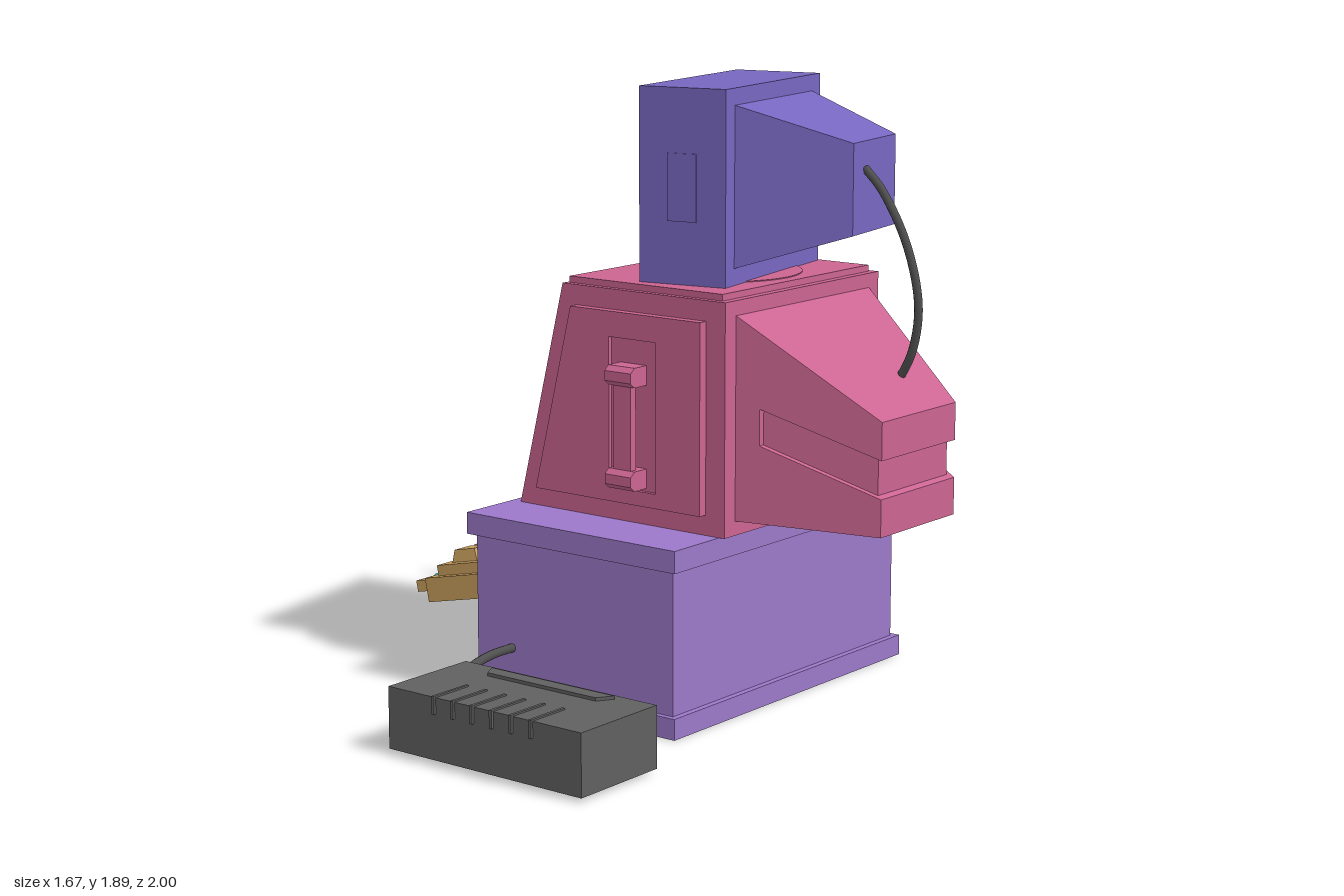
import * as THREE from 'three';

const paint = (color, flatShading = true) => {
  const m = new THREE.MeshStandardMaterial({ color, side: THREE.DoubleSide });
  m.flatShading = flatShading;
  return m;
};
const PURPLE = paint(0x9c78c9), PINK = paint(0xcb6591), VIOLET = paint(0x7767c0), TAN = paint(0xcba15e);
const GREEN = paint(0x91c93b), TEAL = paint(0x46cfc6), DARK = paint(0x606060), CABLE = paint(0x505050, false);

function add(parent, name, geometry, material) {
  const mesh = new THREE.Mesh(geometry, material);
  mesh.name = name;
  parent.add(mesh);
  return mesh;
}

// Box given by its limits on each axis
function box(parent, name, mat, x0, x1, y0, y1, z0, z1) {
  const m = add(parent, name, new THREE.BoxGeometry(x1 - x0, y1 - y0, z1 - z0), mat);
  m.position.set((x0 + x1) / 2, (y0 + y1) / 2, (z0 + z1) / 2);
  return m;
}

// Outline in xy pushed along z, with optional holes
function slab(parent, name, mat, points, z0, z1, holes = []) {
  const path = (p) => p.map(([x, y]) => new THREE.Vector2(x, y));
  const shape = new THREE.Shape(path(points));
  holes.forEach((h) => shape.holes.push(new THREE.Path(path(h))));
  const m = add(parent, name, new THREE.ExtrudeGeometry(shape, { depth: z1 - z0, bevelEnabled: false }), mat);
  m.position.z = z0;
  return m;
}
const rect = (x0, x1, y0, y1) => [[x0, y0], [x1, y0], [x1, y1], [x0, y1]];

// Solid between two rectangles [x, y0, y1, z0, z1] standing across the x axis
function taperX(parent, name, mat, a, b) {
  const loop = ([x, y0, y1, z0, z1]) => [[x, y0, z0], [x, y0, z1], [x, y1, z1], [x, y1, z0]];
  const A = loop(a), B = loop(b), v = [];
  const quad = (p, q, r, s) => v.push(...p, ...q, ...r, ...p, ...r, ...s);
  quad(A[0], A[1], A[2], A[3]);
  quad(B[0], B[3], B[2], B[1]);
  for (let i = 0; i < 4; i++) {
    const j = (i + 1) % 4;
    quad(A[i], B[i], B[j], A[j]);
  }
  const g = new THREE.BufferGeometry();
  g.setAttribute('position', new THREE.Float32BufferAttribute(v, 3));
  g.computeVertexNormals();
  return add(parent, name, g, mat);
}

// Square frustum along y, by half-widths at top and bottom
const pyramid = (top, bottom, h, open = false) =>
  new THREE.CylinderGeometry(top * Math.SQRT2, bottom * Math.SQRT2, h, 4, 1, open).rotateY(Math.PI / 4);

function tube(parent, name, points, r) {
  const curve = new THREE.CatmullRomCurve3(points.map((p) => new THREE.Vector3(...p)));
  add(parent, name, new THREE.TubeGeometry(curve, 32, r, 10), CABLE);
}

function group(parent, name) {
  const g = new THREE.Group();
  g.name = name;
  parent.add(g);
  return g;
}

function buildPlinth(root) {
  const g = group(root, 'plinth');
  box(g, 'plinthBody', PURPLE, -0.395, 0.37, 0.05, 0.52, -0.775, 0.37);
  box(g, 'plinthFoot', PURPLE, -0.42, 0.39, 0, 0.065, -0.797, 0.388);
  box(g, 'plinthTop', PURPLE, -0.42, 0.39, 0.505, 0.573, -0.797, 0.388);
}

function buildCabinet(root) {
  const g = group(root, 'cabinet');
  const faceX = (y) => -0.385 + (y - 0.573) * 0.248;
  const plain = [[faceX(0.573), 0.573], [0.41, 0.573], [0.41, 1.28], [faceX(1.28), 1.28]];
  // Sloping front with a recessed screen between two plain cheeks
  const notch = [[1.1, 0], [1.07, 0.05], [0.745, 0.05], [0.715, 0]].map(([y, d]) => [faceX(y) + d, y]);
  slab(g, 'cabinetCheek', PINK, plain, -0.617, -0.36);
  slab(g, 'cabinetCheek', PINK, plain, 0.085, 0.175);
  slab(g, 'cabinetMiddle', PINK, [...plain, ...notch], -0.36, 0.085);
  box(g, 'cabinetLid', PINK, -0.198, 0.385, 1.275, 1.3, -0.598, 0.155);
  // Small slot at the foot of the sloping front
  const slot = box(g, 'frontSlot', PINK, -0.012, 0.012, -0.05, 0.05, -0.57, -0.41);
  slot.position.set(faceX(0.65), 0.65, -0.49);
  slot.rotation.z = -0.243;
  const swivel = add(g, 'swivelDisc', new THREE.CylinderGeometry(0.25, 0.25, 0.004, 48), PINK);
  swivel.position.set(0.095, 1.301, -0.222);

  // Side door with a recessed handle bay
  slab(g, 'sideDoor', PINK, [[-0.297, 0.635], [0.34, 0.635], [0.34, 1.218], [-0.155, 1.218]], 0.17, 0.205,
    [rect(-0.005, 0.175, 0.68, 1.14)]);
  box(g, 'handleBay', PINK, -0.005, 0.175, 0.68, 1.14, 0.17, 0.192);
  box(g, 'handleBar', PINK, 0.05, 0.115, 0.72, 1.03, 0.225, 0.25);
  for (const [y, s] of [[0.69, 1], [1.065, -1]]) {
    const end = [[0.19, y], [0.25, y], [0.268, y + s * 0.015], [0.268, y + s * 0.045], [0.25, y + s * 0.06], [0.19, y + s * 0.06]];
    const m = slab(g, 'handleEnd', PINK, end.map(([z, yy]) => [-z, yy]), 0, 0.1);
    m.rotation.y = Math.PI / 2;
    m.position.set(0.03, 0, 0);
  }

  // Tapering rear housing with a groove round its end
  const at = (x, y0, y1, inset = 0) => {
    const t = (x - 0.4) / 0.43, half = 0.348 - 0.152 * t - inset;
    return [x, y0, y1, -0.222 - half, -0.222 + half];
  };
  const top = (x) => 1.235 - (x - 0.41) * 0.69, low = (x) => 0.617 - (x - 0.41) * 0.04;
  const g1 = (x) => 0.96 - (x - 0.48) * 0.371, g0 = (x) => 0.85 - (x - 0.48) * 0.386;
  const part = (name, x0, x1, f0, f1, inset) =>
    taperX(g, name, PINK, at(x0, f0(x0), f1(x0), inset), at(x1, f0(x1), f1(x1), inset));
  part('rearHousingRoot', 0.4, 0.48, low, top);
  part('rearHousingUpper', 0.48, 0.83, g1, top);
  part('rearHousingLower', 0.48, 0.83, low, g0);
  part('rearHousingGroove', 0.47, 0.81, g0, g1, 0.02);
}

function buildMonitor(root) {
  const g = group(root, 'monitor');
  g.position.set(0.1215, 1.3, -0.237);
  g.rotation.y = 0.187;
  box(g, 'monitorBody', VIOLET, -0.1, 0.143, 0, 0.588, -0.33, 0.33);
  // Bezel faces -x around a sunken screen
  const bezel = slab(g, 'monitorBezel', VIOLET, rect(-0.33, 0.33, 0, 0.588), 0, 0.045,
    [rect(-0.265, 0.265, 0.07, 0.518)]);
  bezel.rotation.y = -Math.PI / 2;
  bezel.position.x = -0.1;
  const rim = slab(g, 'screenRim', VIOLET, rect(-0.265, 0.265, 0.07, 0.518), 0, 0.02,
    [rect(-0.225, 0.225, 0.11, 0.478)]);
  rim.rotation.y = -Math.PI / 2;
  rim.position.x = -0.1;
  taperX(g, 'monitorBack', VIOLET, [0.14, 0.05, 0.538, -0.272, 0.272], [0.475, 0.155, 0.43, -0.156, 0.156]);
  box(g, 'sidePlate', VIOLET, -0.05, 0.047, 0.19, 0.393, 0.32, 0.334);
  tube(root, 'monitorCable', [[0.6, 1.65, -0.257], [0.66, 1.585, -0.262], [0.74, 1.43, -0.275],
    [0.775, 1.25, -0.29], [0.75, 1.11, -0.3], [0.695, 1.01, -0.31]], 0.013);
}

function buildKeyboard(root) {
  const g = group(root, 'keyboard');
  g.position.set(-0.71, 0.21, 0);
  g.rotation.z = 0.215;
  box(g, 'keyboardTray', TAN, -0.006, 0.33, 0, 0.078, -0.64, 0.245);
  box(g, 'keyboardDeck', TAN, 0.029, 0.33, 0.07, 0.112, -0.618, 0.217);
  for (const x of [0.118, 0.247]) {
    for (let i = 0; i < 8; i++) {
      const key = add(g, 'key', pyramid(0.4, 0.5, 1), TAN);
      key.scale.set(0.108, 0.04, 0.087);
      key.position.set(x, 0.131, -0.538 + i * 0.0965);
    }
  }
  box(g, 'pointerTab', TAN, -0.117, 0, 0.025, 0.062, 0.03, 0.173);
  const ball = add(g, 'pointerBall', new THREE.SphereGeometry(0.037, 24, 12), TEAL);
  ball.scale.y = 0.35;
  ball.position.set(-0.06, 0.062, 0.1);
}

function buildDish(root) {
  const g = group(root, 'receiver');
  box(g, 'receiverBox', GREEN, -0.385, 0.1, 0.573, 0.83, -0.892, -0.632);
  box(g, 'knobPlate', GREEN, -0.4, -0.38, 0.63, 0.8, -0.82, -0.66);
  for (const y of [0.682, 0.745]) {
    for (const z of [-0.775, -0.705]) {
      const knob = add(g, 'knob', new THREE.CylinderGeometry(0.024, 0.028, 0.04, 12).rotateZ(Math.PI / 2), GREEN);
      knob.position.set(-0.412, y, z);
    }
  }
  // Clamp over the box edge, and the mast
  const cx = -0.165, cz = -0.848;
  box(g, 'mastClamp', TEAL, -0.26, -0.07, 0.73, 0.872, -0.922, -0.775);
  box(g, 'mastStep', TEAL, cx - 0.055, cx + 0.055, 0.87, 0.905, cz - 0.04, cz + 0.04);
  add(g, 'mastCollar', pyramid(0.016, 0.028, 0.04), TEAL).position.set(cx, 0.92, cz);
  add(g, 'mast', new THREE.CylinderGeometry(0.012, 0.012, 0.36, 10), TEAL).position.set(cx, 1.07, cz);

  // Square dish, opening along its local y
  const dish = group(g, 'dish');
  const n = new THREE.Vector3(-0.806, 0.265, -0.53).normalize();
  const u = new THREE.Vector3(0.5, -0.167, -0.85);
  u.addScaledVector(n, -u.dot(n)).normalize();
  dish.quaternion.setFromRotationMatrix(new THREE.Matrix4().makeBasis(u, n, u.clone().cross(n)));
  dish.position.set(-0.28, 1.285, -0.842);
  add(dish, 'dishWall', pyramid(0.177, 0.075, 0.13, true), TEAL).position.y = -0.065;
  box(dish, 'dishFloor', TEAL, -0.075, 0.075, -0.132, -0.126, -0.075, 0.075);
  add(dish, 'feedBlock', pyramid(0.03, 0.045, 0.05), TEAL).position.y = -0.105;
  const tip = new THREE.Vector3(0, 0.285, 0);
  for (let i = 0; i < 3; i++) {
    const a = i * Math.PI * 2 / 3;
    const foot = new THREE.Vector3(Math.cos(a) * 0.065, -0.08, Math.sin(a) * 0.065);
    const rod = add(dish, 'feedRod', new THREE.CylinderGeometry(0.0022, 0.0022, tip.distanceTo(foot), 6), TEAL);
    rod.position.copy(tip).add(foot).multiplyScalar(0.5);
    rod.quaternion.setFromUnitVectors(new THREE.Vector3(0, 1, 0), tip.clone().sub(foot).normalize());
  }
  add(dish, 'feedTip', new THREE.SphereGeometry(0.008, 10, 8), TEAL).position.copy(tip);
}

function buildDrive(root) {
  const g = group(root, 'driveBox');
  box(g, 'driveCase', DARK, -0.19, 0.535, 0.012, 0.2, 0.655, 0.99);
  const ridge = slab(g, 'driveRidge', DARK, [[-0.06, -0.685], [0.405, -0.685], [0.375, -0.733], [-0.035, -0.733]], 0, 0.015);
  ridge.rotation.x = -Math.PI / 2;
  ridge.position.set(0, 0.195, 0);
  for (let i = 0; i < 6; i++) {
    const x = -0.01 + i * 0.073;
    box(g, 'ventBar', DARK, x - 0.005, x + 0.005, 0.15, 0.205, 0.85, 0.998);
  }
  tube(root, 'driveCable', [[-0.25, 0.168, 0.34], [-0.268, 0.16, 0.45], [-0.262, 0.145, 0.55],
    [-0.23, 0.125, 0.65], [-0.17, 0.11, 0.75]], 0.014);
}

export function createModel() {
  const root = new THREE.Group();
  root.name = 'computerWorkstation';
  [buildPlinth, buildCabinet, buildMonitor, buildKeyboard, buildDish, buildDrive].forEach((build) => build(root));
  return root;
}
